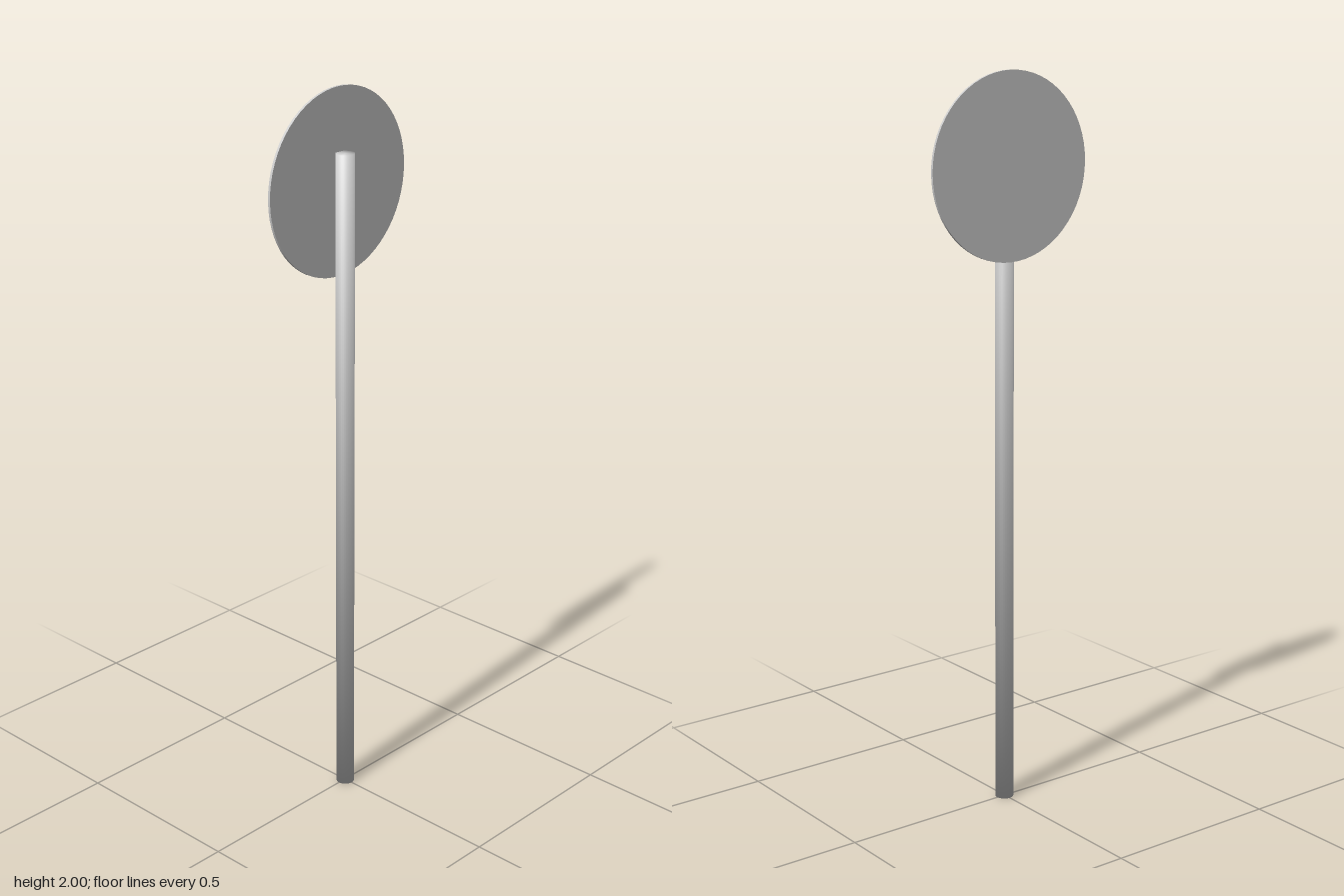
import * as THREE from 'three';

const material = new THREE.MeshStandardMaterial({ color: 0xcccccc });

function cylinder(name, radius, height, sides) {
  const mesh = new THREE.Mesh(new THREE.CylinderGeometry(radius, radius, height, sides), material);
  mesh.name = name;
  return mesh;
}

// Blend the normals of caps and side so the shading runs softly over the rims
function softenRims(geometry, radius) {
  const { position, normal } = geometry.attributes;
  const n = new THREE.Vector3();
  for (let i = 0; i < position.count; i++) {
    n.fromBufferAttribute(position, i);
    n.y = Math.sign(n.y) * radius;
    n.normalize();
    normal.setXYZ(i, n.x, n.y, n.z);
  }
}

export function createModel() {
  const group = new THREE.Group();
  group.name = 'signPost';

  // Upright round pole
  const poleHeight = 1.833, poleRadius = 0.025;
  const pole = cylinder('pole', poleRadius, poleHeight, 32);
  softenRims(pole.geometry, poleRadius);
  pole.position.set(0, poleHeight / 2, 0.001);
  group.add(pole);

  // Thin round plate fixed to the back of the pole
  const plateRadius = 0.247;
  const plate = cylinder('signPlate', plateRadius, 0.007, 64);
  plate.rotation.x = Math.PI / 2;
  plate.position.set(0, 2 - plateRadius, -0.0235);
  group.add(plate);

  return group;
}
